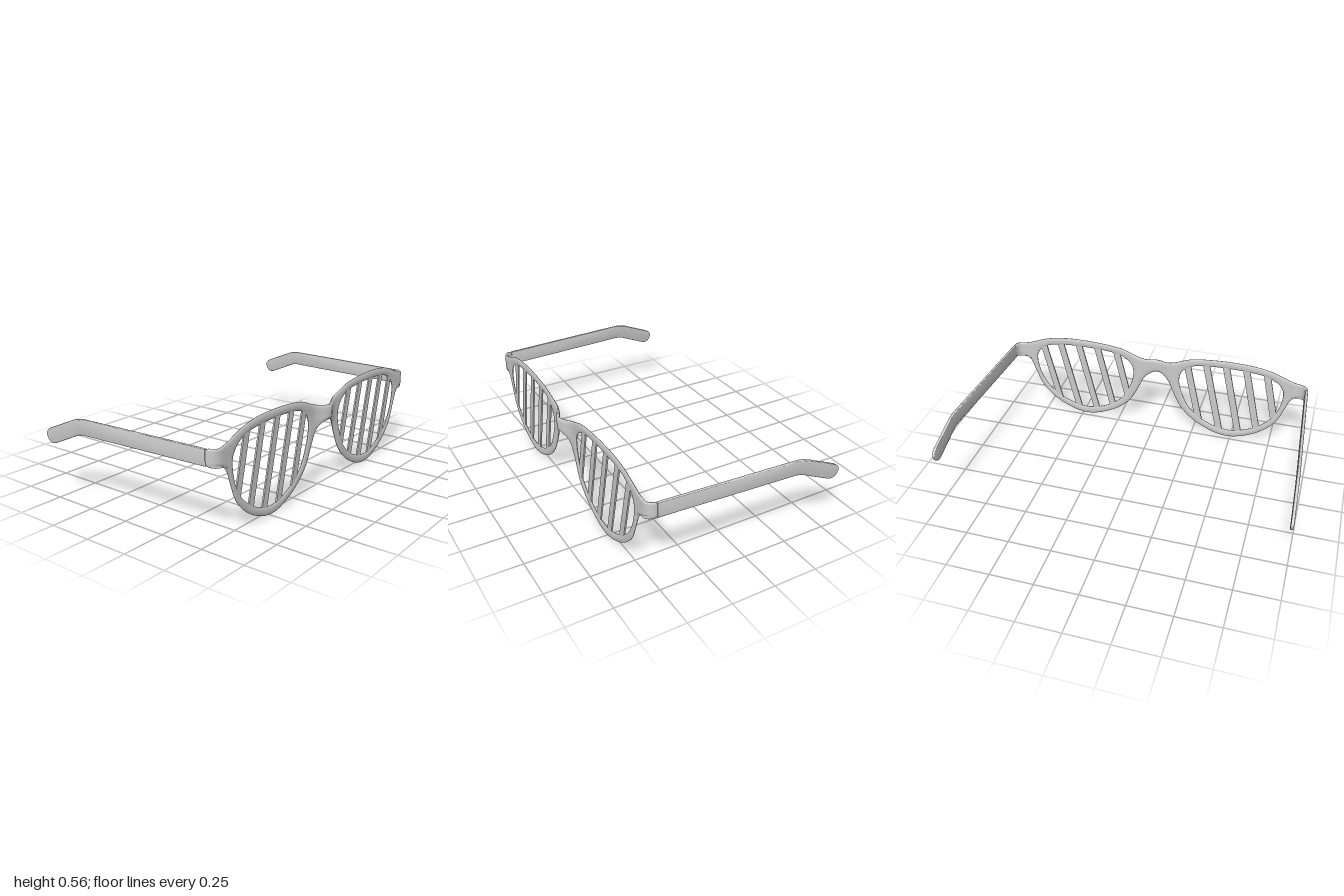
import * as THREE from 'three';
import { mergeGeometries, mergeVertices, toCreasedNormals } from 'three/addons/utils/BufferGeometryUtils.js';

const Z0 = 0.528;                       // depth of the frame's middle plane
const CORNER = { x: 0.89, r: 0.045 };   // where the end pieces wrap backwards
const SEG = 8, ACROSS = 12;

// Paired outlines of half the frame, clockwise from the top of the bridge
const OUTER = [
  [0, .48], [.06, .485], [.12, .503], [.225, .54], [.34, .555], [.475, .561], [.61, .555], [.72, .535],
  [.84, .49], [.895, .476], [.96, .473], [.96, .392], [.895, .39], [.85, .355], [.82, .28], [.77, .165],
  [.645, .055], [.475, .003], [.305, .055], [.178, .158], [.113, .28], [.08, .35], [.045, .382], [0, .395]];
const INNER = [
  [.153, .41], [.165, .44], [.19, .467], [.24, .494], [.34, .509], [.475, .513], [.61, .507], [.70, .492],
  [.76, .46], [.785, .432], [.798, .405], [.801, .375], [.80, .35], [.795, .315], [.775, .25], [.72, .165],
  [.61, .086], [.475, .053], [.335, .09], [.225, .175], [.175, .27], [.157, .325], [.151, .355], [.15, .38]];

function sampleOutlines() {
  const vec = ([x, y]) => new THREE.Vector3(x, y, 0);
  const n = OUTER.length - 1;
  // The outer curve runs on past the bridge so it crosses x = 0 level
  const outerCurve = new THREE.CatmullRomCurve3([[-.06, .485], ...OUTER, [-.045, .382]].map(vec));
  const innerCurve = new THREE.CatmullRomCurve3(INNER.map(vec), true);
  const outer = [], inner = [];
  for (let i = 0; i < (n + 1) * SEG; i++) {
    const k = i / SEG;
    inner.push(innerCurve.getPoint(k / (n + 1)));
    outer.push(k <= n ? outerCurve.getPoint((k + 1) / (n + 2))
      : vec(OUTER[n]).lerp(vec(OUTER[0]), k - n));
  }
  return { outer, inner, edgeCount: n * SEG };
}

// Half of the frame: a ring between the outlines, rounded towards every edge
function frameHalf(side, { outer, inner, edgeCount }) {
  const count = outer.length;
  const edges = [];
  for (let i = 0; i < count; i++) {
    edges.push(new THREE.Line3(inner[i], inner[(i + 1) % count]));
    if (i < edgeCount) edges.push(new THREE.Line3(outer[i], outer[i + 1]));
  }
  const near = new THREE.Vector3();
  const halfThickness = (p) => {
    let d = Infinity;
    for (const e of edges) d = Math.min(d, e.closestPointToPoint(p, true, near).distanceTo(p));
    const round = THREE.MathUtils.lerp(0.025, 0.01, THREE.MathUtils.smoothstep(p.x, 0.83, 0.9));
    const full = 0.0075 + 0.0035 * Math.exp(-((p.x / 0.12) ** 2));
    return full * Math.sqrt(1 - (1 - Math.min(d / round, 1)) ** 2);
  };
  // Push the bridge forwards and wrap the end piece around its corner
  const bend = (p, offset) => {
    const { x, r } = CORNER;
    if (p.x <= x) {
      const a = Math.abs(p.x);
      const bow = 0.03 * Math.exp(-((a / 0.06) ** 2)) - 0.004 * Math.exp(-(((a - 0.11) / 0.05) ** 2));
      return [side * p.x, p.y, Z0 + bow + offset];
    }
    const angle = Math.min((p.x - x) / r, Math.PI / 2);
    const rest = p.x - x - angle * r;
    return [side * (x + (r + offset) * Math.sin(angle)), p.y, Z0 - r + (r + offset) * Math.cos(angle) - rest];
  };
  const positions = [], index = [], row = ACROSS + 1;
  for (const face of [1, -1]) {
    const base = positions.length / 3;
    for (let i = 0; i < count; i++) {
      for (let j = 0; j <= ACROSS; j++) {
        const p = inner[i].clone().lerp(outer[i], 0.5 - 0.5 * Math.cos(Math.PI * j / ACROSS));
        positions.push(...bend(p, face * halfThickness(p)));
        if (j === ACROSS) continue;
        const a = base + i * row + j, b = base + ((i + 1) % count) * row + j;
        if (face * side > 0) index.push(a, b, a + 1, b, b + 1, a + 1);
        else index.push(a, a + 1, b, b, a + 1, b + 1);
      }
    }
  }
  const geometry = new THREE.BufferGeometry();
  geometry.setAttribute('position', new THREE.Float32BufferAttribute(positions, 3));
  geometry.setIndex(index);
  return geometry;
}

// A slanted slat whose four corners are tucked into the rim
function slatGeometry(x, opening) {
  const slope = 0.23, midY = 0.283, half = 0.0215, depth = 0.009;
  const ends = (x0) => {
    const hits = [];
    const off = (p) => p.x - x0 - slope * (p.y - midY);
    opening.forEach((p, i) => {
      const q = opening[(i + 1) % opening.length];
      const a = off(p), b = off(q);
      if (a * b <= 0 && a !== b) hits.push(p.y + (q.y - p.y) * a / (a - b));
    });
    return [Math.min(...hits) - 0.015, Math.max(...hits) + 0.015]
      .map((y) => new THREE.Vector2(x0 + slope * (y - midY), y));
  };
  const [l0, l1] = ends(x - half), [r0, r1] = ends(x + half);
  const geometry = new THREE.ExtrudeGeometry(new THREE.Shape([l0, r0, r1, l1]), { depth, bevelEnabled: false });
  return geometry.translate(0, 0, Z0 - depth / 2);
}

// Temple arm: side profile with a bent, rounded tip, splayed outwards to the back
function templeGeometry(side) {
  const bevel = 0.004, depth = 0.009;
  const s = new THREE.Shape();
  s.moveTo(-0.478, 0.394);
  s.lineTo(0.29, 0.394);
  s.bezierCurveTo(0.335, 0.393, 0.35, 0.38, 0.39, 0.363);
  s.lineTo(0.505, 0.313);
  s.bezierCurveTo(0.535, 0.302, 0.55, 0.313, 0.56, 0.33);
  s.bezierCurveTo(0.575, 0.36, 0.56, 0.373, 0.53, 0.387);
  s.lineTo(0.385, 0.449);
  s.bezierCurveTo(0.345, 0.466, 0.325, 0.471, 0.28, 0.471);
  s.lineTo(-0.478, 0.471);
  const geometry = new THREE.ExtrudeGeometry(s, {
    depth, bevelThickness: bevel, bevelSize: bevel, bevelSegments: 3, curveSegments: 10 });
  geometry.translate(0, 0, -depth / 2).rotateY(Math.PI / 2);
  const pos = geometry.attributes.position;
  for (let i = 0; i < pos.count; i++) {
    pos.setX(i, pos.getX(i) + side * (0.936 + (0.48 - pos.getZ(i)) * 0.0525));
  }
  return toCreasedNormals(geometry, 0.6);
}

export function createModel() {
  const model = new THREE.Group();
  model.name = 'shutterGlasses';
  const material = new THREE.MeshStandardMaterial({ color: 0xcccccc });
  const add = (name, geometry) => {
    const mesh = new THREE.Mesh(geometry, material);
    mesh.name = name;
    model.add(mesh);
  };

  const outlines = sampleOutlines();
  const frame = mergeVertices(mergeGeometries([1, -1].map((side) => frameHalf(side, outlines))), 1e-5);
  frame.computeVertexNormals();
  add('frame', frame);

  for (const [side, label, firstX] of [[1, 'left', 0.208], [-1, 'right', -0.743]]) {
    const opening = outlines.inner.map((p) => new THREE.Vector2(side * p.x, p.y));
    for (let k = 0; k < 5; k++) add(`${label}Slat${k + 1}`, slatGeometry(firstX + 0.1243 * k, opening));
    add(`${label}Temple`, templeGeometry(side));
  }
  return model;
}
